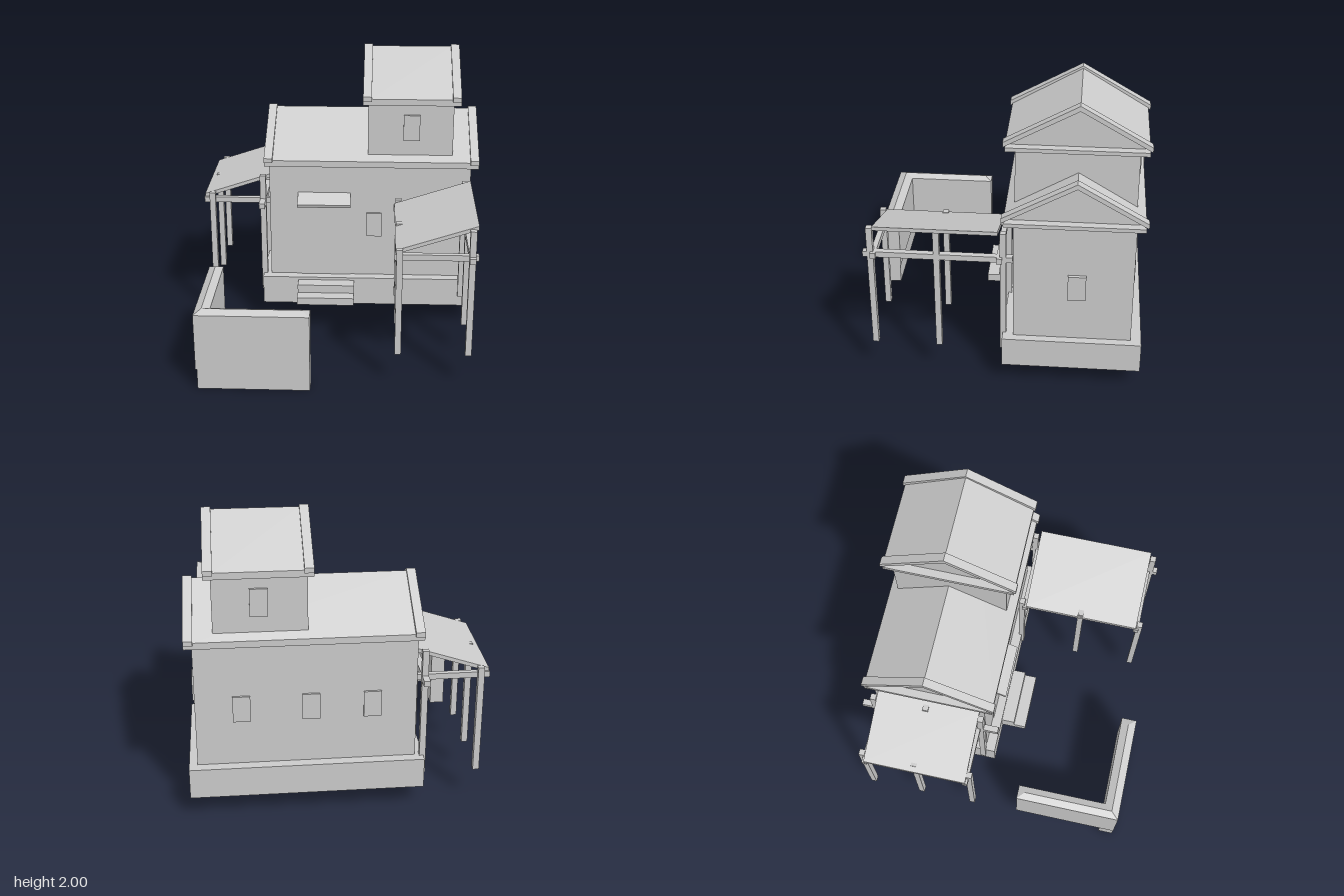
import * as THREE from 'three';

const mat = new THREE.MeshStandardMaterial({ color: 0xcccccc, flatShading: true });

function add(parent, name, geo) {
  const mesh = new THREE.Mesh(geo, mat);
  mesh.name = name;
  parent.add(mesh);
  return mesh;
}

// Box given by its limits on each axis
function box(parent, name, x0, x1, y0, y1, z0, z1) {
  const geo = new THREE.BoxGeometry(x1 - x0, y1 - y0, z1 - z0);
  geo.translate((x0 + x1) / 2, (y0 + y1) / 2, (z0 + z1) / 2);
  return add(parent, name, geo);
}

function group(parent, name) {
  const g = new THREE.Group();
  g.name = name;
  parent.add(g);
  return g;
}

const extrude = (points, depth) => new THREE.ExtrudeGeometry(
  new THREE.Shape(points.map(([a, b]) => new THREE.Vector2(a, b))), { depth, bevelEnabled: false });

// Profile of [z, y] points swept from x0 to x1
function sweepX(parent, name, points, x0, x1) {
  const geo = extrude(points.map(([z, y]) => [-z, y]), x1 - x0);
  geo.rotateY(Math.PI / 2).translate(x0, 0, 0);
  return add(parent, name, geo);
}

// Profile of [x, y] points swept from z0 to z1
function sweepZ(parent, name, points, z0, z1) {
  return add(parent, name, extrude(points, z1 - z0).translate(0, 0, z0));
}

// Gabled roof: cornice, recessed roof body, thin panels and raised verge boards
function gableRoof(parent, name, x0, x1, y) {
  const g = group(parent, name);
  const zf = -0.022, zb = -0.945, zm = -0.495;
  box(g, 'cornice', x0, x1, y, y + 0.027, -0.93, -0.035);
  sweepX(g, 'roofBody', [[-0.035, y + 0.025], [-0.035, y + 0.045], [zm, y + 0.31],
    [-0.93, y + 0.045], [-0.93, y + 0.025]], x0 + 0.055, x1 - 0.055);
  const verge = [[zf, y + 0.03], [zf, y + 0.063], [zm, y + 0.325],
    [zb, y + 0.063], [zb, y + 0.03], [zm, y + 0.29]];
  sweepX(g, 'vergeBoard', verge, x0, x0 + 0.06);
  sweepX(g, 'vergeBoard', verge, x1 - 0.06, x1);
}

// Lean-to canopy on three pairs of posts
function canopy(parent, name, c) {
  const g = group(parent, name);
  const rise = (c.x1 - c.x0) / 3, y = 0.965;
  sweepZ(g, 'canopyPanel', [[c.x0, y - 0.027], [c.x1, y + rise - 0.027],
    [c.x1, y + rise], [c.x0, y]], c.z0, c.z1);
  for (const z of c.postZ) {
    box(g, 'shortPost', c.low, c.low + 0.042, 0.225, 0.985, z - 0.02, z + 0.02);
    box(g, 'tallPost', c.high, c.high + 0.042, 0.225, 1.12, z - 0.02, z + 0.02);
  }
  for (const z of c.crossZ) box(g, 'crossBeam', c.beam0, c.beam1, 0.905, 0.945, z - 0.018, z + 0.018);
  box(g, 'longBeam', c.high, c.high + 0.042, 0.905, 0.945, c.long0, c.long1);
}

// L-shaped garden wall with a low hipped coping and a foot under the front leg
function gardenWall(parent) {
  const g = group(parent, 'gardenWall');
  const outline = [[-0.92, 0.965], [-0.16, 0.965], [-0.16, 0.855],
    [-0.82, 0.855], [-0.82, 0.22], [-0.92, 0.22]];
  const walls = extrude(outline.map(([x, z]) => [x, -z]), 0.4);
  add(g, 'wall', walls.rotateX(-Math.PI / 2).translate(0, 0.145, 0));
  box(g, 'wallFoot', -0.91, -0.16, 0, 0.145, 0.86, 0.965);
  const ridge = [[-0.21, 0.91], [-0.87, 0.91], [-0.87, 0.27]];
  const pts = [...outline.map(([x, z]) => [x, 0.545, z]), ...ridge.map(([x, z]) => [x, 0.57, z])];
  const geo = new THREE.BufferGeometry();
  geo.setAttribute('position', new THREE.Float32BufferAttribute(pts.flat(), 3));
  geo.setIndex([0, 1, 6, 0, 6, 7, 1, 2, 6, 2, 3, 7, 2, 7, 6,
    3, 4, 8, 3, 8, 7, 4, 5, 8, 5, 0, 7, 5, 7, 8]);
  geo.computeVertexNormals();
  add(g, 'coping', geo);
}

export function createModel() {
  const model = new THREE.Group();
  model.name = 'house';

  // Main volumes
  box(model, 'plinth', -0.565, 0.985, 0.145, 0.355, -0.945, -0.025);
  box(model, 'mainWalls', -0.51, 0.93, 0.355, 1.215, -0.875, -0.095);
  gableRoof(model, 'mainRoof', -0.54, 0.98, 1.215);
  box(model, 'towerWalls', 0.195, 0.795, 1.245, 1.675, -0.873, -0.095);
  gableRoof(model, 'towerRoof', 0.16, 0.84, 1.675);

  // Windows
  const win = group(model, 'windows');
  const wide = 0.0575;
  box(win, 'frontWindow', 0.19, 0.30, 0.668, 0.848, -0.1, -0.08);
  box(win, 'sideWindow', 0.925, 0.953, 0.668, 0.848, -0.568, -0.45);
  for (const x of [0.63, 0.18, -0.22]) {
    box(win, 'backWindow', x - wide, x + wide, 0.668, 0.848, -0.89, -0.87);
  }
  box(win, 'towerFrontWindow', 0.445, 0.56, 1.405, 1.59, -0.1, -0.08);
  box(win, 'towerBackWindow', 0.445, 0.56, 1.405, 1.59, -0.89, -0.87);

  // Entrance
  box(model, 'door', -0.305, 0.075, 0.355, 0.94, -0.1, -0.088);
  sweepX(model, 'doorAwning', [[-0.095, 0.975], [-0.095, 1.0], [0.01, 0.943], [0.003, 0.92]], -0.305, 0.075);
  box(model, 'lowerStep', -0.305, 0.105, 0.22, 0.275, -0.03, 0.155);
  box(model, 'upperStep', -0.305, 0.105, 0.275, 0.335, -0.03, 0.068);

  // Canopies in front and at the side
  canopy(model, 'frontCanopy', {
    x0: 0.39, x1: 0.922, z0: 0.005, z1: 0.815, low: 0.397, high: 0.865,
    postZ: [0.838, 0.405, -0.028], crossZ: [0.818, -0.005],
    beam0: 0.385, beam1: 0.928, long0: -0.09, long1: 0.888,
  });
  canopy(model, 'sideCanopy', {
    x0: -0.985, x1: -0.505, z0: -0.85, z1: -0.13, low: -0.948, high: -0.58,
    postZ: [-0.872, -0.5, -0.112], crossZ: [-0.848, -0.132],
    beam0: -0.988, beam1: -0.51, long0: -0.968, long1: 0.01,
  });

  gardenWall(model);
  return model;
}
